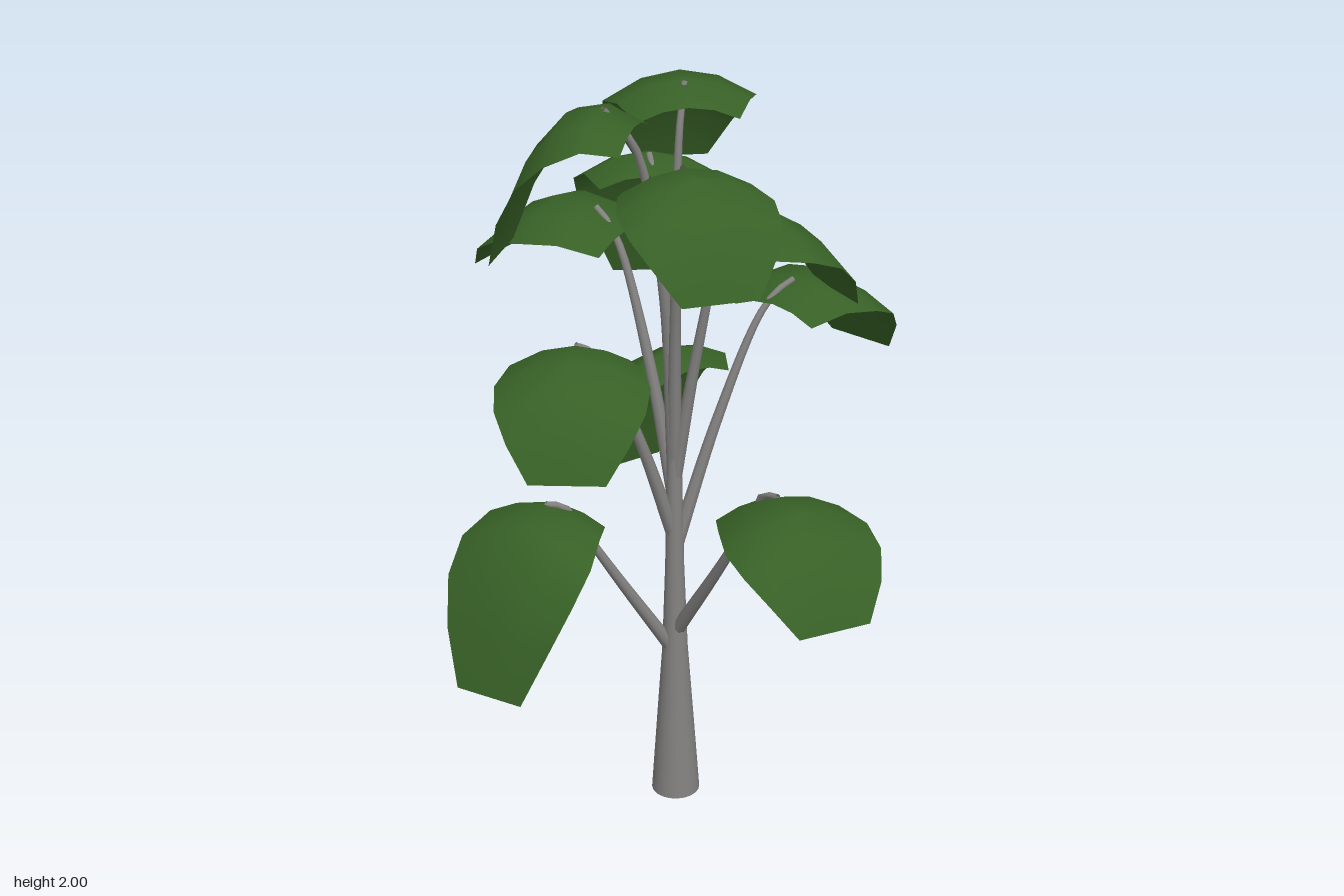
import * as THREE from 'three';

const V = (x, y, z) => new THREE.Vector3(x, y, z);
const bark = new THREE.MeshStandardMaterial({ color: 0x838281, side: THREE.DoubleSide });
const green = new THREE.MeshStandardMaterial({ color: 0x376026, side: THREE.DoubleSide });
const TRUNK = V(-0.06, 0, 0.005);

// Tube along a curve, narrowing from r0 to r1
function taperedTube(curve, r0, r1, segments, sides) {
  const geo = new THREE.TubeGeometry(curve, segments, 1, sides, false);
  const pos = geo.attributes.position;
  const p = V(0, 0, 0);
  for (let i = 0; i < pos.count; i++) {
    const t = Math.floor(i / (sides + 1)) / segments;
    const c = curve.getPointAt(t);
    p.fromBufferAttribute(pos, i).sub(c).multiplyScalar(r0 + (r1 - r0) * t).add(c);
    pos.setXYZ(i, p.x, p.y, p.z);
  }
  return geo;
}

// Midrib: rises slightly from the base edge, then droops to the tip edge
function midrib(base, tip) {
  const ctrl = base.clone().lerp(tip, 0.64);
  ctrl.y = base.y + 0.17;
  return new THREE.QuadraticBezierCurve3(base, ctrl, tip);
}

// Leaf blade: rows of varying width across the midrib, domed so the sides hang lower, flat at the tip
const ROWS = [[0, 0.25], [0.2, 0.33], [0.42, 0.385], [0.64, 0.37], [0.84, 0.3], [1, 0.19]];
function leafGeometry(rib, base, tip) {
  const geo = new THREE.PlaneGeometry(1, 1, 4, ROWS.length - 1);
  const pos = geo.attributes.position;
  const across = V(tip.z - base.z, 0, base.x - tip.x).normalize();
  for (let i = 0; i < pos.count; i++) {
    const [t, width] = ROWS[Math.floor(i / 5)];
    const d = pos.getX(i) * width;
    const p = rib.getPoint(t).addScaledVector(across, d);
    p.y += (1 - t ** 3) * (0.01 - 2.1 * d * d);
    pos.setXYZ(i, p.x, p.y, p.z);
  }
  geo.computeVertexNormals();
  return geo;
}

// Each branch: height it leaves the trunk, how far out it is halfway up, leaf base, leaf tip
const BRANCHES = [
  [0.43, 0.45, V(-0.26, 0.9, 0.22), V(-0.235, 0.53, 0.59)],
  [0.49, 0.47, V(0.27, 1.02, 0.11), V(0.61, 0.86, 0.32)],
  [0.6, 0.42, V(-0.19, 1.11, -0.27), V(-0.465, 0.73, -0.38)],
  [0.78, 0.36, V(-0.25, 1.32, 0.15), V(-0.04, 1.145, 0.5)],
  [0.74, 0.36, V(0.1, 1.39, -0.21), V(0.145, 1.18, -0.59)],
  [0.9, 0.33, V(-0.24, 1.57, -0.05), V(-0.65, 1.435, -0.04)],
  [0.95, 0.38, V(0.06, 1.63, 0.04), V(0.23, 1.43, -0.31)],
  [0.95, 0.17, V(-0.18, 1.72, -0.07), V(-0.35, 1.36, -0.31)],
  [1.0, 0.2, V(0.01, 1.82, 0.11), V(0.31, 1.65, 0.36)],
  [1.0, 0.15, V(-0.06, 1.94, 0.17), V(-0.385, 1.6, 0.28)],
  [1.0, 0.15, V(-0.03, 1.94, -0.02), V(-0.27, 1.7, -0.3)],
];

export function createModel() {
  const tree = new THREE.Group();
  tree.name = 'youngTree';

  // Flared trunk, open at the foot, thinning into the bundle of branches
  const profile = [[0.065, 0], [0.05, 0.22], [0.034, 0.45], [0.025, 0.7], [0.019, 1.05], [0.01, 1.4]]
    .map(([r, y]) => new THREE.Vector2(r, y));
  const trunk = new THREE.Mesh(new THREE.LatheGeometry(profile, 20), bark);
  trunk.position.copy(TRUNK);
  trunk.name = 'trunk';
  tree.add(trunk);

  BRANCHES.forEach(([startY, spread, base, tip], i) => {
    const branch = new THREE.Group();
    branch.name = `branch${i + 1}`;
    const rib = midrib(base, tip);

    // Stem climbs outward, then bends over into the leaf
    const end = rib.getPoint(0.18);
    end.y += 0.01;
    const at = (out, up) => V(
      THREE.MathUtils.lerp(TRUNK.x, end.x, out),
      THREE.MathUtils.lerp(startY, end.y, up),
      THREE.MathUtils.lerp(TRUNK.z, end.z, out));
    const path = new THREE.CatmullRomCurve3(
      [at(0, 0), at(spread, 0.5), at(spread * 0.8 + 0.42, 0.88), at(0.86, 0.965), end]);
    const stem = new THREE.Mesh(taperedTube(path, 0.02, 0.008, 20, 8), bark);
    stem.name = 'stem';

    const leaf = new THREE.Mesh(leafGeometry(rib, base, tip), green);
    leaf.name = 'leaf';
    branch.add(stem, leaf);
    tree.add(branch);
  });
  return tree;
}
